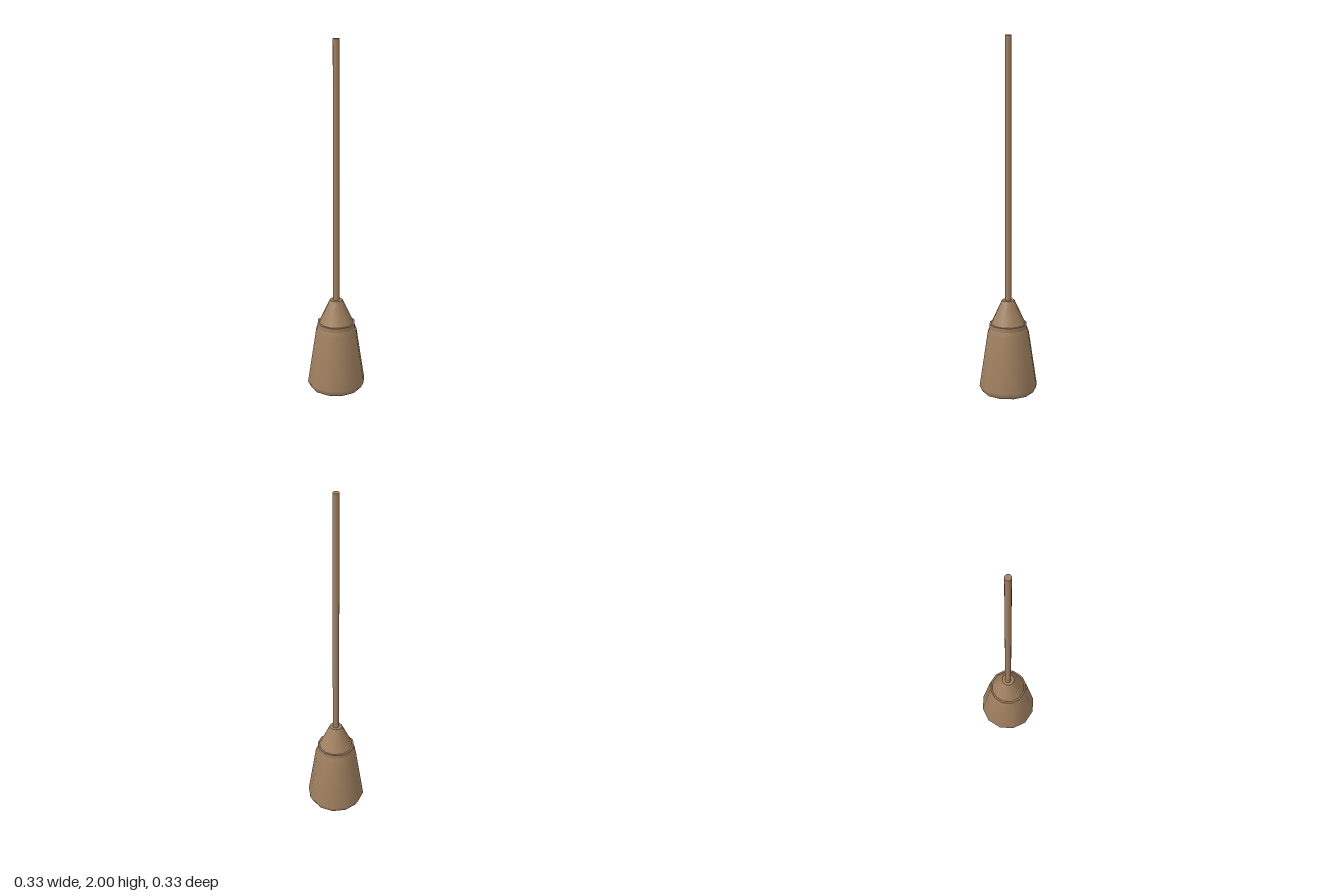
import * as THREE from 'three';

const SIDES = 12;

export function createModel() {
  const model = new THREE.Group();
  model.name = 'weightedPole';
  const wood = new THREE.MeshStandardMaterial({ color: 0xa08060 });
  wood.name = 'brown';

  const add = (name, geometry, y = 0) => {
    const mesh = new THREE.Mesh(geometry, wood);
    mesh.name = name;
    mesh.position.y = y;
    model.add(mesh);
    return mesh;
  };
  // Capped frustum spanning two heights
  const frustum = (name, rBottom, rTop, y0, y1, sides = SIDES) =>
    add(name, new THREE.CylinderGeometry(rTop, rBottom, y1 - y0, sides), (y0 + y1) / 2);

  // Tapered body with a bevelled foot and shoulder
  const profile = [[0.148, 0], [0.167, 0.037], [0.12, 0.345], [0.1, 0.395]];
  add('body', new THREE.LatheGeometry(profile.map(([r, y]) => new THREE.Vector2(r, y)), SIDES));

  // Flat underside, its corners aligned with the body
  const base = add('base', new THREE.CircleGeometry(0.148, SIDES));
  base.rotation.x = Math.PI / 2;

  // Collar, neck cone and long rod
  frustum('collar', 0.108, 0.108, 0.375, 0.4);
  frustum('neck', 0.098, 0.036, 0.4, 0.535);
  frustum('rod', 0.018, 0.018, 0.53, 2, 16);

  return model;
}
